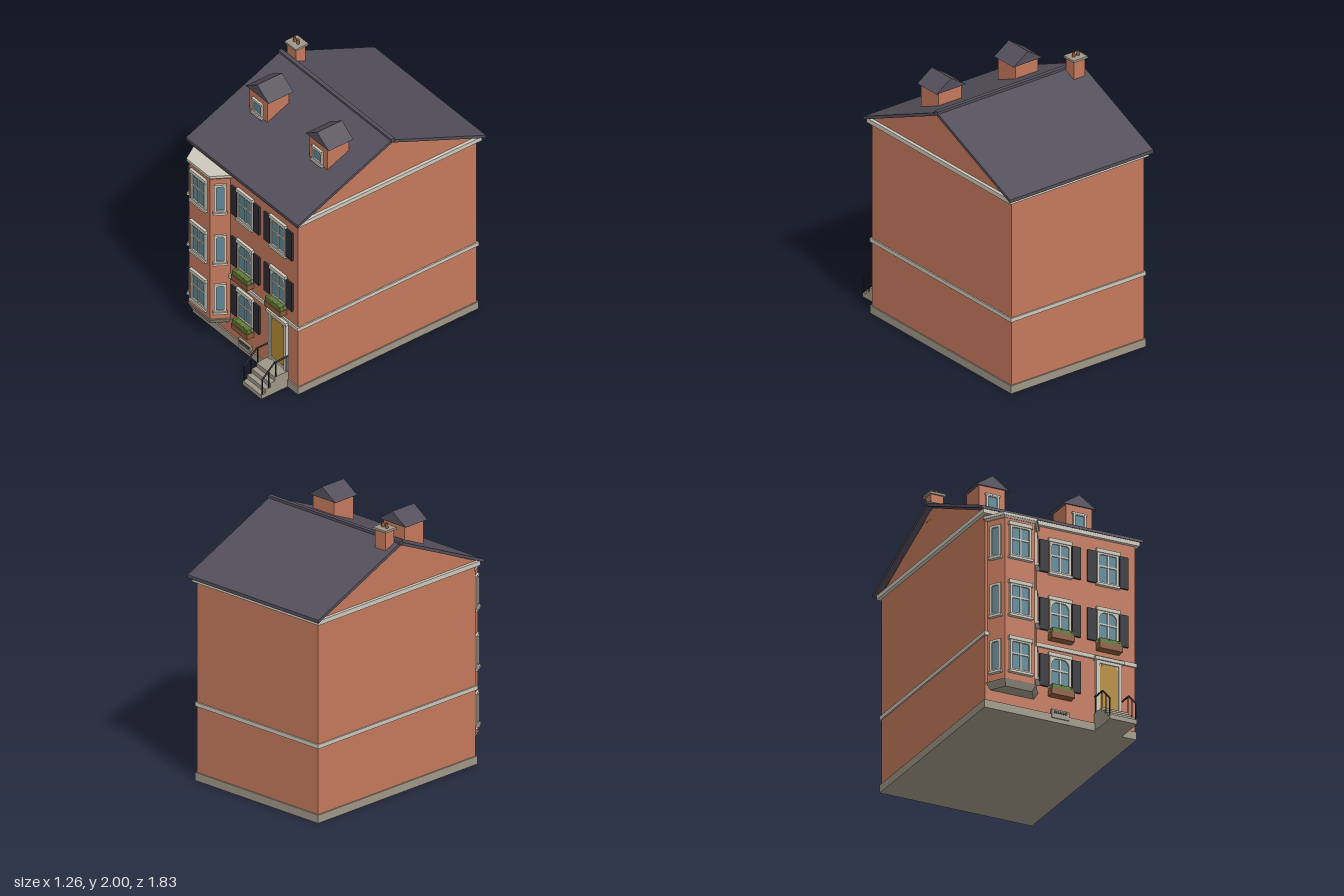
import * as THREE from 'three';

const mat = (name, color) => {
  const m = new THREE.MeshStandardMaterial({ color });
  m.name = name;
  return m;
};

export function createModel() {
  const brick = mat('brick', 0xc4795c), slate = mat('slate', 0x534f5b), trim = mat('trim', 0xcdc8bc);
  const stone = mat('stone', 0x9f9788), dark = mat('dark paint', 0x2a2b33), glass = mat('glass', 0x5c8797);
  const leaf = mat('leaf', 0x5f7a35), wood = mat('wood', 0x8d5a3a), gold = mat('door paint', 0xb48b35);
  const flower = mat('flower', 0xd08a4c);

  const house = new THREE.Group();
  house.name = 'townHouse';
  const add = (name, geo, m, parent = house) => {
    const mesh = new THREE.Mesh(geo, m);
    mesh.name = name;
    parent.add(mesh);
    return mesh;
  };
  const group = (name, x, y, z, parent = house) => {
    const g = new THREE.Group();
    g.name = name;
    g.position.set(x, y, z);
    parent.add(g);
    return g;
  };
  // box given by its limits on each axis
  const box = (name, m, x0, x1, y0, y1, z0, z1, parent) => {
    const g = new THREE.BoxGeometry(x1 - x0, y1 - y0, z1 - z0);
    g.translate((x0 + x1) / 2, (y0 + y1) / 2, (z0 + z1) / 2);
    return add(name, g, m, parent);
  };
  const outline = pts => new THREE.Shape(pts.map(p => new THREE.Vector2(...p)));
  const extrude = (shape, depth) => new THREE.ExtrudeGeometry(shape, { depth, bevelEnabled: false, curveSegments: 5 });
  // side profile of [z, y] points swept along x
  const sweepX = (pts, x0, x1) =>
    extrude(outline(pts.map(([z, y]) => [-z, y])), x1 - x0).rotateY(Math.PI / 2).translate(x0, 0, 0);
  // round bar between two points
  const bar = (name, a, b, r, m, parent) => {
    const p = new THREE.Vector3(...a), q = new THREE.Vector3(...b);
    const mesh = add(name, new THREE.CylinderGeometry(r, r, p.distanceTo(q), 8), m, parent);
    mesh.position.copy(p).lerp(q, 0.5);
    mesh.quaternion.setFromUnitVectors(new THREE.Vector3(0, 1, 0), q.sub(p).normalize());
  };

  // Main walls with gables, plinth and stone bands
  add('walls', sweepX([[0.68, 0.01], [0.68, 1.495], [-0.1, 1.835], [-0.87, 1.495], [-0.87, 0.01]], -0.578, 0.578), brick);
  box('plinth', stone, -0.587, 0.587, 0, 0.06, -0.88, 0.69);
  box('stringCourse', trim, -0.588, 0.588, 0.547, 0.577, -0.88, 0.692);
  box('cornice', trim, -0.603, 0.603, 1.462, 1.495, -0.895, 0.705);

  // Roof slab and ridge
  add('roof', sweepX([[0.72, 1.508], [-0.1, 1.862], [-0.915, 1.512], [-0.915, 1.488], [-0.1, 1.838], [0.72, 1.485]], -0.624, 0.624), slate);
  box('ridgeCap', slate, -0.632, 0.632, 1.845, 1.873, -0.118, -0.088);

  // Chimney
  box('chimney', brick, -0.58, -0.483, 1.76, 1.95, -0.21, -0.125);
  box('chimneyCap', stone, -0.594, -0.47, 1.95, 1.966, -0.224, -0.112);
  for (const x of [-0.552, -0.515])
    add('chimneyPot', new THREE.CylinderGeometry(0.01, 0.012, 0.036, 12).translate(x, 1.982, -0.168), wood);

  // Sash window standing on its sill, facing +z
  function addWindow(parent, name, x, y, z, w, h, { arch = 0.008, hood = true, turn = 0, rim = 0.018 } = {}) {
    const g = group(name, x, y, z, parent);
    g.rotation.y = turn;
    const a = w / 2, i = a - rim, top = h - rim, r = Math.min(arch, i * 0.9);
    const frame = outline([[-a, 0], [a, 0], [a, h], [-a, h]]);
    const hole = new THREE.Path();
    hole.moveTo(-i, rim);
    hole.lineTo(i, rim);
    hole.lineTo(i, top - r);
    hole.absarc(i - r, top - r, r, 0, Math.PI / 2, false);
    hole.lineTo(r - i, top);
    hole.absarc(r - i, top - r, r, Math.PI / 2, Math.PI, false);
    hole.closePath();
    frame.holes.push(hole);
    add('windowFrame', extrude(frame, 0.016), trim, g);
    box('pane', glass, -a + 0.004, a - 0.004, 0.004, h - 0.004, 0, 0.006, g);
    const t = w > 0.1 ? 0.006 : 0.003;
    if (w > 0.1) {
      box('mullion', trim, -t, t, rim, top, 0, 0.012, g);
      box('transom', trim, -i, i, h * 0.56 - t, h * 0.56 + t, 0, 0.013, g);
    }
    box('sill', trim, -a - 0.008, a + 0.008, -0.014, 0.004, 0, 0.026, g);
    if (hood) box('lintel', trim, -a - 0.008, a + 0.008, h - 0.006, h + 0.022, 0, 0.022, g);
    return g;
  }

  // Window box with planting and blooms
  function addFlowerBox(x, y) {
    const g = group('flowerBox', x, y, 0.68);
    box('planter', wood, -0.088, 0.088, 0, 0.044, 0, 0.062, g);
    box('foliage', leaf, -0.084, 0.084, 0.044, 0.08, 0.006, 0.056, g);
    for (let k = 0; k < 6; k++)
      add('bloom', new THREE.IcosahedronGeometry(0.009, 0)
        .translate(-0.065 + k * 0.026, 0.078 - (k % 2) * 0.008, 0.034 + (k % 3) * 0.01), k % 3 === 1 ? trim : flower, g);
  }

  // Flat front windows with shutters; no window over the door on the ground floor
  const rows = [0.258, 0.683, 1.122], H = 0.24;
  rows.forEach((y, row) => {
    for (const x of row ? [-0.003, 0.365] : [-0.003]) {
      addWindow(house, 'frontWindow', x, y, 0.68, 0.165, H, { arch: row < 2 ? 0.042 : 0.012 });
      for (const s of [-1, 1])
        box('shutter', dark, x + s * 0.125 - 0.033, x + s * 0.125 + 0.033, y, y + H, 0.68, 0.694);
      if (row < 2) addFlowerBox(x, y - 0.07);
    }
  });

  // Bay: a trapezoid plan, widened or narrowed between bottom and top
  const bayX = -0.37, bayZ = 0.68, frontHalf = 0.115, backHalf = 0.19, depth = 0.12;
  const bayPart = (name, m, y0, y1, k0, k1) => {
    const geo = extrude(outline([[-backHalf, 0.01], [-backHalf, 0], [-frontHalf, -depth],
      [frontHalf, -depth], [backHalf, 0], [backHalf, 0.01]]), y1 - y0).rotateX(-Math.PI / 2);
    const p = geo.attributes.position;
    for (let i = 0; i < p.count; i++) {
      const k = p.getY(i) > (y1 - y0) / 2 ? k1 : k0;
      p.setXYZ(i, p.getX(i) * k, p.getY(i), p.getZ(i) * k);
    }
    geo.computeVertexNormals();
    add(name, geo.translate(bayX, y0, bayZ), m);
  };
  bayPart('bayWalls', brick, 0.18, 1.42, 1, 1);
  bayPart('bayBase', stone, 0.143, 0.192, 0.88, 1.06);
  bayPart('bayCornice', trim, 1.41, 1.425, 1.03, 1.1);
  bayPart('bayRoof', trim, 1.425, 1.446, 1.12, 1.12);
  const sideTurn = Math.atan2(depth, backHalf - frontHalf);
  for (const y of rows) {
    addWindow(house, 'bayFrontWindow', bayX, y, bayZ + depth, 0.165, H);
    for (const s of [-1, 1])
      addWindow(house, 'baySideWindow', bayX + s * (frontHalf + backHalf) / 2, y, bayZ + depth / 2, 0.085, H,
        { hood: false, turn: s * sideTurn, rim: 0.017 });
  }

  // Dormers
  for (const x of [-0.336, 0.334]) {
    const d = group('dormer', x, 0, 0);
    box('dormerWalls', brick, -0.1, 0.1, 1.665, 1.868, 0.125, 0.315, d);
    add('dormerRoof', extrude(outline([[-0.128, 1.866], [0.128, 1.866], [0, 1.952]]), 0.215).translate(0, 0, 0.11), slate, d);
    addWindow(d, 'dormerWindow', 0, 1.698, 0.315, 0.1, 0.108, { rim: 0.014, hood: false });
    box('dormerLintel', trim, -0.056, 0.056, 1.798, 1.812, 0.315, 0.333, d);
  }

  // Door with notched panel and surround
  const door = group('door', 0.369, 0, 0.68);
  box('doorSurround', trim, -0.098, 0.098, 0.13, 0.54, 0, 0.014, door);
  for (const s of [-1, 1])
    box('doorPilaster', trim, s * 0.086 - 0.012, s * 0.086 + 0.012, 0.13, 0.54, 0, 0.024, door);
  box('doorHead', trim, -0.098, 0.098, 0.515, 0.54, 0, 0.024, door);
  box('doorHood', trim, -0.112, 0.112, 0.537, 0.562, 0, 0.034, door);
  const n = 0.014, dx = 0.07, d0 = 0.16, d1 = 0.508;
  add('doorPanel', extrude(outline([[-dx + n, d0], [dx - n, d0], [dx - n, d0 + n], [dx, d0 + n], [dx, d1 - n], [dx - n, d1 - n],
    [dx - n, d1], [n - dx, d1], [n - dx, d1 - n], [-dx, d1 - n], [-dx, d0 + n], [n - dx, d0 + n]]), 0.005).translate(0, 0, 0.014), gold, door);

  // Front steps and handrails
  const steps = group('frontSteps', 0.368, 0, 0);
  [[0.135, 0.8], [0.101, 0.84], [0.067, 0.88], [0.034, 0.918]].forEach(([y, z], i) =>
    box('step', stone, -0.104, 0.104, 0, y, i ? z - 0.04 : 0.68, z, steps));
  for (const s of [-1, 1]) {
    const x = s * 0.1, rail = group('handrail', 0, 0, 0, steps);
    bar('levelRail', [x, 0.26, 0.685], [x, 0.26, 0.8], 0.006, dark, rail);
    bar('slopedRail', [x, 0.26, 0.8], [x, 0.16, 0.908], 0.006, dark, rail);
    for (const [z, y0, y1] of [[0.692, 0.13, 0.26], [0.79, 0.13, 0.262], [0.85, 0.06, 0.215], [0.908, 0.03, 0.163]])
      bar('railPost', [x, y0, z], [x, y1, z], 0.005, dark, rail);
  }

  // Cellar grille in the plinth
  const vent = group('cellarGrille', -0.003, 0, 0.69);
  box('grilleSurround', stone, -0.068, 0.068, 0.03, 0.094, -0.01, 0.008, vent);
  box('grilleOpening', dark, -0.052, 0.052, 0.066, 0.084, 0, 0.011, vent);
  for (let k = -3; k <= 3; k++)
    box('grilleBar', stone, k * 0.014 - 0.002, k * 0.014 + 0.002, 0.066, 0.084, 0, 0.014, vent);

  return house;
}
